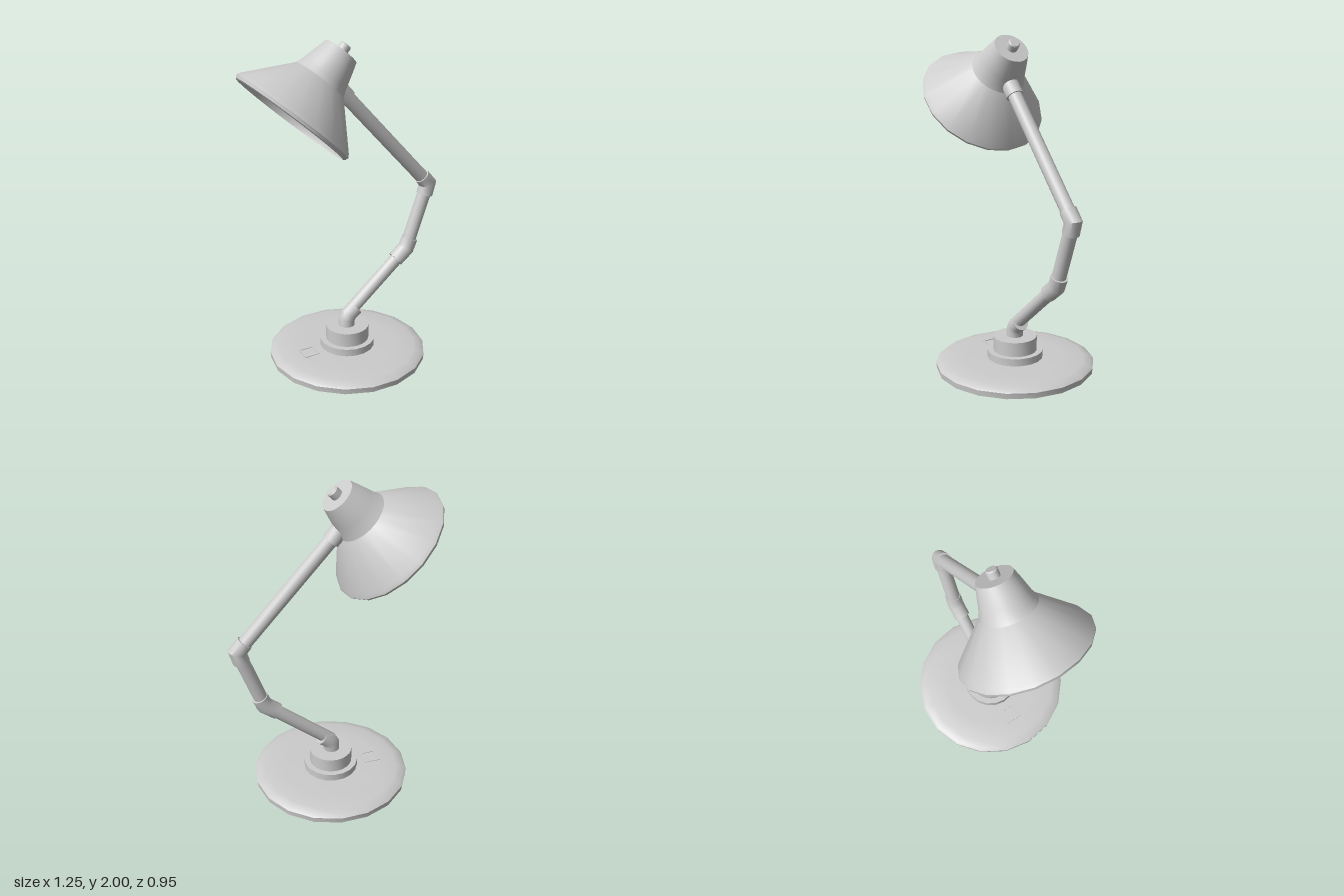
import * as THREE from 'three';
import { toCreasedNormals } from 'three/addons/utils/BufferGeometryUtils.js';

const grey = new THREE.MeshStandardMaterial({ color: 0xcccccc });

function addPart(parent, name, geometry, crease = 0.6) {
  const mesh = new THREE.Mesh(toCreasedNormals(geometry, crease), grey);
  mesh.name = name;
  parent.add(mesh);
  return mesh;
}

// Turned solid; profile runs [radius, y] from the lower centre outwards and up
function turned(profile, sides) {
  return new THREE.LatheGeometry(profile.map(([r, y]) => new THREE.Vector2(r, y)), sides, Math.PI / 2);
}

// Closed pipe along [x, y] points in the z = 0 plane, mitred at each bend
function pipe(path, radius, sides = 16) {
  const pts = path.map(([x, y]) => new THREE.Vector2(x, y));
  const dirs = pts.slice(1).map((p, i) => p.clone().sub(pts[i]).normalize());
  const positions = [];
  const index = [];
  const ring = (p, normal, stretch, r) => {
    for (let j = 0; j < sides; j++) {
      const a = (j / sides) * Math.PI * 2;
      const k = Math.cos(a) * r * stretch;
      positions.push(p.x + normal.x * k, p.y + normal.y * k, Math.sin(a) * r);
    }
  };
  pts.forEach((p, i) => {
    const before = dirs[Math.max(i - 1, 0)];
    const after = dirs[Math.min(i, dirs.length - 1)];
    const d = before.clone().add(after).normalize();
    const normal = new THREE.Vector2(-d.y, d.x);
    if (i === 0) ring(p, normal, 1, 0);
    ring(p, normal, 1 / d.dot(after), radius);
    if (i === pts.length - 1) ring(p, normal, 1, 0);
  });
  for (let i = 0; i <= pts.length; i++) {
    for (let j = 0; j < sides; j++) {
      const a = i * sides + j;
      const b = i * sides + ((j + 1) % sides);
      if (i > 0) index.push(a, b, a + sides);
      if (i < pts.length) index.push(b, b + sides, a + sides);
      if (i === 0) continue;
      if (i === pts.length) continue;
    }
  }
  const geometry = new THREE.BufferGeometry();
  geometry.setAttribute('position', new THREE.Float32BufferAttribute(positions, 3));
  geometry.setIndex(index);
  return geometry;
}

export function createModel() {
  const lamp = new THREE.Group();
  lamp.name = 'deskLamp';

  // Weighted foot with two stepped collars
  addPart(lamp, 'base', turned([
    [0, 0], [0.478, 0], [0.482, 0.035], [0.465, 0.048], [0.42, 0.06], [0.3, 0.063], [0, 0.068],
  ], 18));
  addPart(lamp, 'lowerCollar', turned([[0, 0.05], [0.168, 0.05], [0.168, 0.11], [0, 0.11]], 18));
  addPart(lamp, 'upperCollar', turned([[0, 0.1], [0.132, 0.1], [0.132, 0.198], [0, 0.198]], 24));

  // Thin square switch frame on the foot
  const frame = new THREE.Shape([[-1, -1], [1, -1], [1, 1], [-1, 1]]
    .map(([x, y]) => new THREE.Vector2(x * 0.05, y * 0.05)));
  frame.holes.push(new THREE.Path([[-1, -1], [-1, 1], [1, 1], [1, -1]]
    .map(([x, y]) => new THREE.Vector2(x * 0.04, y * 0.04))));
  const switchFrame = addPart(lamp, 'switchFrame',
    new THREE.ExtrudeGeometry(frame, { depth: 0.005, bevelEnabled: false }));
  switchFrame.rotation.x = -Math.PI / 2;
  switchFrame.position.set(-0.26, 0.062, -0.01);

  // Three arm tubes between the joint centres
  const foot = [-0.005, 0.265], knee = [0.415, 0.625], elbow = [0.56, 1.035], neckEnd = [-0.07, 1.735];
  addPart(lamp, 'lowerArm', pipe([foot, knee], 0.04));
  addPart(lamp, 'middleArm', pipe([knee, elbow], 0.042));
  addPart(lamp, 'upperArm', pipe([elbow, neckEnd], 0.042));

  // Bent sleeves that hold the tubes
  addPart(lamp, 'footJoint', pipe([[-0.005, 0.19], [-0.004, 0.255], [0.012, 0.285], [0.06, 0.32]].map(
    ([x, y]) => [x, y - 0.02]), 0.05));
  addPart(lamp, 'kneeJoint', pipe([[0.34, 0.565], knee, [0.442, 0.69]], 0.05));
  addPart(lamp, 'elbowJoint', pipe([[0.54, 0.965], elbow, [0.513, 1.09]], 0.05));
  addPart(lamp, 'shadeJoint', pipe([[-0.002, 1.657], neckEnd], 0.052));

  // Tilted head: local y runs along its axis, with the cap at y = 0
  const head = new THREE.Group();
  head.name = 'head';
  head.position.set(-0.0375, 1.925, 0);
  head.rotation.z = -Math.atan2(0.31, 0.335);
  lamp.add(head);

  addPart(head, 'shade', turned([
    [0, -0.19], [0.13, -0.2], [0.355, -0.445], [0.36, -0.472],
    [0.376, -0.468], [0.384, -0.45], [0.372, -0.43], [0.165, -0.2], [0.12, -0.17],
  ], 18), 0.7);
  addPart(head, 'shadeNeck', turned([
    [0, -0.23], [0.185, -0.225], [0.165, -0.2], [0.15, -0.165], [0.138, -0.12], [0.122, -0.06], [0.104, 0], [0, 0],
  ].filter((p, i) => i > 1), 28));
  addPart(head, 'knob', turned([[0, -0.01], [0.034, -0.01], [0.034, 0.04], [0.028, 0.047], [0, 0.047]], 16));

  return lamp;
}
